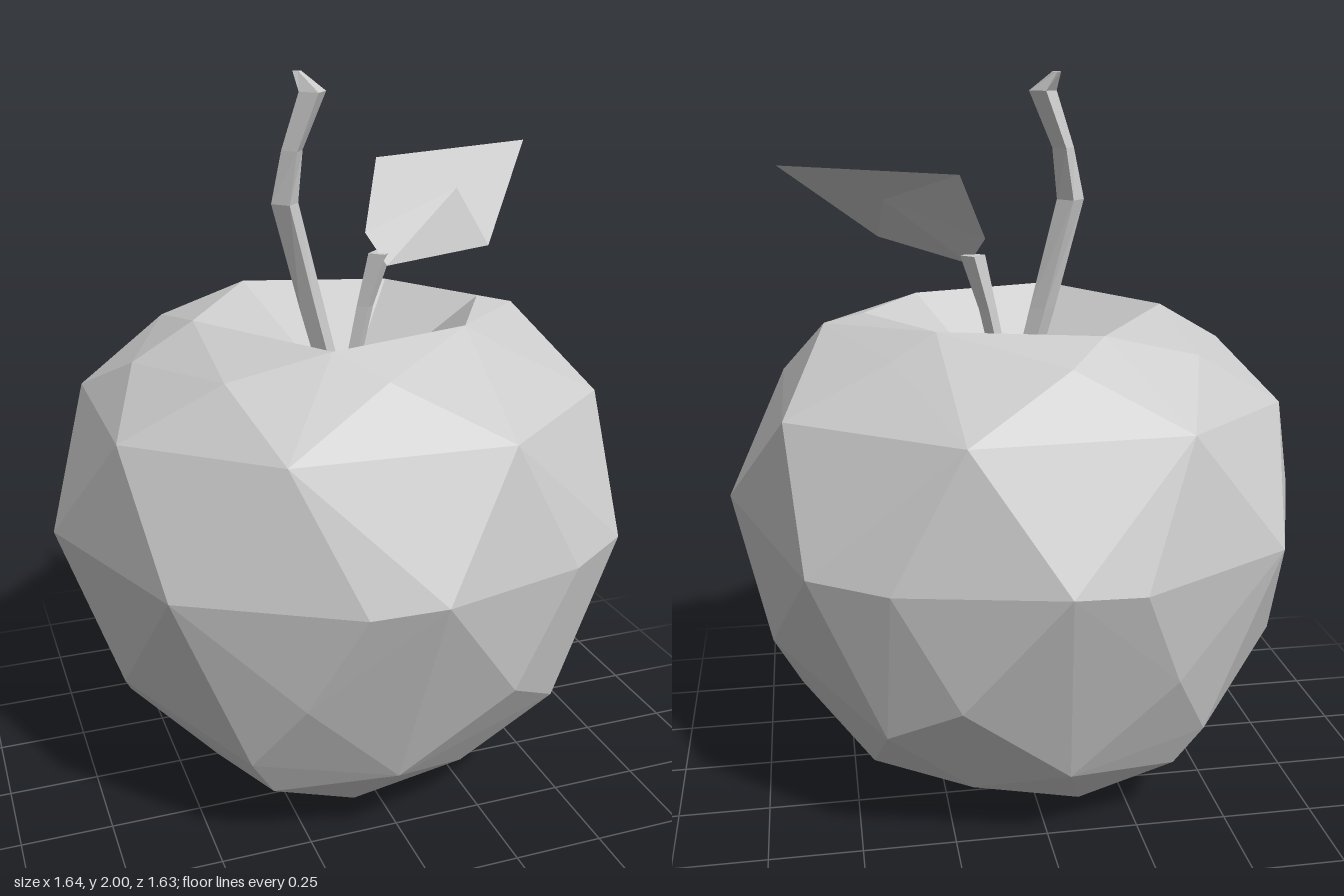
import * as THREE from 'three';
import { ConvexGeometry } from 'three/addons/geometries/ConvexGeometry.js';

const grey = new THREE.MeshStandardMaterial({ color: 0xcccccc, flatShading: true, side: THREE.DoubleSide });
grey.name = 'plain grey';

// Flat-shaded mesh from a list of triangles, each three [x, y, z] corners
function facets(name, triangles) {
  const g = new THREE.BufferGeometry();
  g.setAttribute('position', new THREE.Float32BufferAttribute(triangles.flat(2), 3));
  g.computeVertexNormals();
  const mesh = new THREE.Mesh(g, grey);
  mesh.name = name;
  return mesh;
}

// Fan of triangles from an apex to a closed ring
const fan = (apex, ring) => ring.map((p, i) => [apex, p, ring[(i + 1) % ring.length]]);

// Four-sided tapered stalk: each section is [x, y, z, half width x, half width z]
function stalk(name, sections) {
  const rings = sections.map(([x, y, z, a, b]) =>
    [[x + a, y, z], [x, y, z - b], [x - a, y, z], [x, y, z + b]]);
  const tris = [];
  for (let i = 0; i < rings.length - 1; i++) {
    for (let j = 0; j < 4; j++) {
      const k = (j + 1) % 4, lo = rings[i], hi = rings[i + 1];
      tris.push([lo[j], lo[k], hi[k]], [lo[j], hi[k], hi[j]]);
    }
  }
  const top = rings[rings.length - 1];
  tris.push([top[0], top[1], top[2]], [top[0], top[2], top[3]]);
  return facets(name, tris);
}

export function createModel() {
  const model = new THREE.Group();
  model.name = 'apple';

  // Rims of the hollows at the top and the bottom
  const TOP = 1.36;
  const topRim = [[0.43, 0], [0.26, 0.29], [-0.155, 0.41], [-0.41, 0], [-0.155, -0.41], [0.26, -0.29]]
    .map(([x, z]) => [x, TOP, z]);
  const bottomRim = [[0.27, 0], [0.09, 0.25], [-0.24, 0.15], [-0.24, -0.15], [0.09, -0.25]]
    .map(([x, z]) => [x, 0, z]);

  // Faceted body: points of one half, mirrored front to back
  const shoulder = [
    [0.54, 1.335, 0], [0.375, 1.29, 0.31], [-0.05, 1.305, 0.53], [-0.42, 1.29, 0.36], [-0.58, 1.26, 0],
    [0.66, 1.14, 0.3], [0.23, 1.16, 0.68], [-0.34, 1.15, 0.62], [-0.68, 1.13, 0.27],
  ];
  const middle = [
    [0.82, 0.85, 0], [0.62, 0.8, 0.54], [0.42, 0.8, 0.68], [0, 0.82, 0.815],
    [-0.19, 0.8, 0.775], [-0.62, 0.8, 0.53], [-0.82, 0.8, 0],
  ];
  const lower = [
    [0.715, 0.5, 0.22], [0.25, 0.48, 0.69], [-0.31, 0.51, 0.66], [-0.69, 0.45, 0.25],
    [0.645, 0.26, 0], [0.43, 0.36, 0.56], [-0.04, 0.235, 0.61], [-0.42, 0.3, 0.53], [-0.635, 0.275, 0],
    [0.45, 0.1, 0.21], [0.2, 0.15, 0.48], [-0.1, 0.06, 0.43], [-0.35, 0.18, 0.49], [-0.4, 0.05, 0.08],
  ];
  const half = [...shoulder, ...middle, ...lower];
  const mirrored = half.filter(p => p[2] > 0).map(([x, y, z]) => [x, y, -z]);
  const hull = new ConvexGeometry([...half, ...mirrored, ...topRim, ...bottomRim]
    .map(p => new THREE.Vector3(...p))).getAttribute('position');

  // Leave out the flat caps so that the hollows can sink in
  const skin = [];
  for (let i = 0; i < hull.count; i += 3) {
    const tri = [0, 1, 2].map(j => [hull.getX(i + j), hull.getY(i + j), hull.getZ(i + j)]);
    const cap = tri.every(p => p[1] > TOP - 0.003) || tri.every(p => p[1] < 0.003);
    if (!cap) skin.push(tri);
  }
  model.add(facets('body', skin));
  model.add(facets('topHollow', fan([0.02, 1.08, 0], [...topRim])));
  model.add(facets('bottomHollow', fan([0, 0.1, 0], [...bottomRim].reverse())));

  // Bent stem
  model.add(stalk('stem', [
    [0.01, 1.06, 0, 0.03, 0.03],
    [-0.07, 1.36, 0, 0.036, 0.035],
    [-0.147, 1.66, 0, 0.038, 0.045],
    [-0.125, 1.8, 0, 0.03, 0.045],
    [-0.07, 1.95, 0.01, 0.038, 0.05],
    [-0.1, 2.0, -0.03, 0.012, 0.012],
  ]));

  // Leaf stalk
  model.add(stalk('leafStalk', [
    [0.02, 1.06, 0, 0.02, 0.02],
    [0.085, 1.36, 0, 0.025, 0.025],
    [0.125, 1.51, 0.01, 0.035, 0.035],
  ]));

  // Creased leaf
  model.add(facets('leaf', fan([0.37, 1.67, -0.03], [
    [0.095, 1.56, -0.03], [0.13, 1.48, 0.05], [0.375, 1.545, 0.175],
    [0.645, 1.775, -0.17], [0.18, 1.745, -0.17],
  ])));

  // Outward winding for the top hollow
  const hollow = model.getObjectByName('topHollow').geometry;
  const pos = hollow.getAttribute('position');
  const a = new THREE.Vector3(), b = new THREE.Vector3();
  for (let i = 0; i < pos.count; i += 3) {
    a.fromBufferAttribute(pos, i + 1);
    b.fromBufferAttribute(pos, i + 2);
    pos.setXYZ(i + 1, b.x, b.y, b.z);
    pos.setXYZ(i + 2, a.x, a.y, a.z);
  }
  hollow.computeVertexNormals();
  return model;
}
